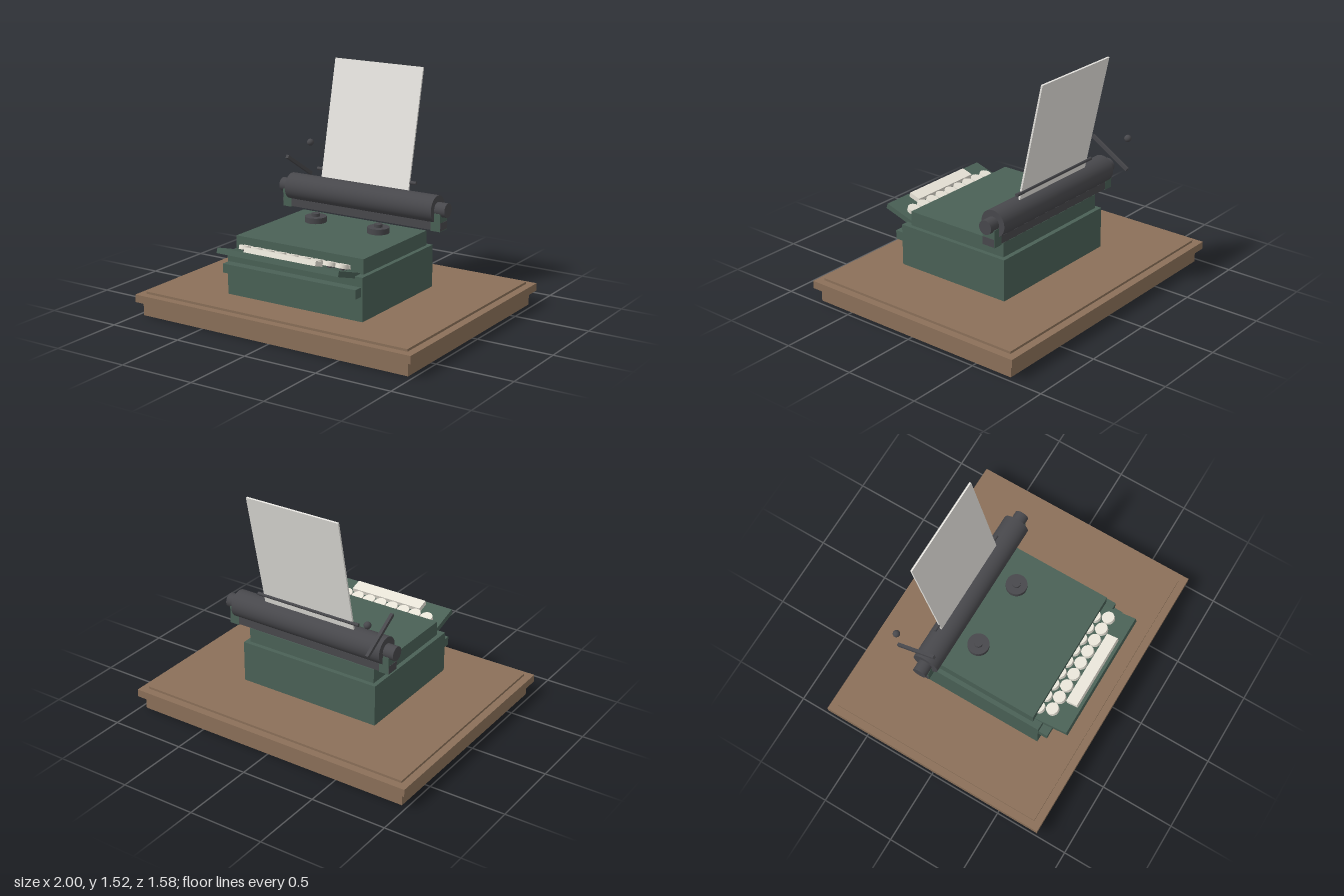
import * as THREE from 'three';

const mat = (color) => new THREE.MeshStandardMaterial({ color });

export function createModel() {
  const model = new THREE.Group();
  const wood = mat(0x8b7059), green = mat(0x4a6156), dark = mat(0x48484c);
  const ivory = mat(0xe8e4d8), white = mat(0xe6e4df);

  const add = (name, geometry, material, x, y, z, parent = model) => {
    const mesh = new THREE.Mesh(geometry, material);
    mesh.name = name;
    mesh.position.set(x, y, z);
    parent.add(mesh);
    return mesh;
  };
  // box given by its width, bottom/top height and back/front depth
  const slab = (name, material, w, y0, y1, z0, z1, x = 0, parent = model) =>
    add(name, new THREE.BoxGeometry(w, y1 - y0, z1 - z0), material, x, (y0 + y1) / 2, (z0 + z1) / 2, parent);
  // cylinder lying along x
  const rod = (name, material, r, x0, x1, y, z, sides = 32) => {
    const mesh = add(name, new THREE.CylinderGeometry(r, r, x1 - x0, sides), material, (x0 + x1) / 2, y, z);
    mesh.rotation.z = Math.PI / 2;
    return mesh;
  };

  // wooden board
  slab('boardFoot', wood, 1.93, 0, 0.09, -0.757, 0.757);
  slab('boardRim', wood, 2, 0.09, 0.14, -0.792, 0.792);
  slab('boardTop', wood, 1.9, 0.14, 0.155, -0.742, 0.742);

  // machine body
  slab('lowerBody', green, 0.99, 0.155, 0.43, -0.328, 0.496);
  slab('upperBody', green, 0.932, 0.43, 0.525, -0.298, 0.441);
  slab('frontLedge', green, 0.97, 0.311, 0.369, 0.49, 0.558);

  // sloping keyboard, pivoted on its upper front edge
  const keyboard = new THREE.Group();
  keyboard.name = 'keyboard';
  keyboard.position.set(0, 0.507, 0.667);
  keyboard.rotation.x = -0.3;
  model.add(keyboard);
  slab('keyTray', green, 0.882, -0.035, 0, -0.3, 0, 0, keyboard);
  slab('spaceBar', ivory, 0.52, 0, 0.031, -0.102, -0.022, 0, keyboard);
  const cap = new THREE.CylinderGeometry(0.041, 0.041, 0.026, 24);
  const stem = new THREE.CylinderGeometry(0.013, 0.013, 0.02, 12);
  [[0.01, -0.154], [-0.016, -0.242]].forEach(([shift, z]) => {
    for (let i = -4; i <= 4; i++) {
      const x = shift + i * 0.0883;
      add('keyCap', cap, ivory, x, 0.023, z, keyboard);
      add('keyStem', stem, dark, x, 0.006, z, keyboard);
    }
  });

  // ribbon spools, carriage brackets and platen knobs on both sides
  for (const s of [-1, 1]) {
    add('ribbonSpool', new THREE.CylinderGeometry(0.07, 0.07, 0.036, 32), dark, s * 0.235, 0.543, -0.097);
    add('spoolHub', new THREE.CylinderGeometry(0.027, 0.027, 0.022, 20), dark, s * 0.235, 0.57, -0.097);
    slab('carriageBracket', green, 0.066, 0.546, 0.66, -0.333, -0.243, s * 0.559);
    rod('platenKnob', dark, 0.046, s * 0.585 - 0.037, s * 0.585 + 0.037, 0.679, -0.288);
  }

  // carriage
  rod('platen', dark, 0.087, -0.55, 0.55, 0.679, -0.288, 48);
  slab('carriageRail', dark, 1.188, 0.551, 0.602, -0.331, -0.245);
  rod('paperBail', dark, 0.011, -0.372, 0.372, 0.811, -0.324, 16);

  // sheet of paper leaning back from the platen
  const paper = add('paper', new THREE.BoxGeometry(0.656, 0.83, 0.012), white, 0, 1.117, -0.385);
  paper.rotation.x = -0.215;

  // return lever with its ball
  const lever = add('returnLever', new THREE.BoxGeometry(0.02, 0.022, 0.318), dark, -0.54, 0.806, -0.354);
  lever.rotation.x = -0.55;
  add('leverBall', new THREE.SphereGeometry(0.023, 20, 14), dark, -0.54, 0.934, -0.487);

  return model;
}
